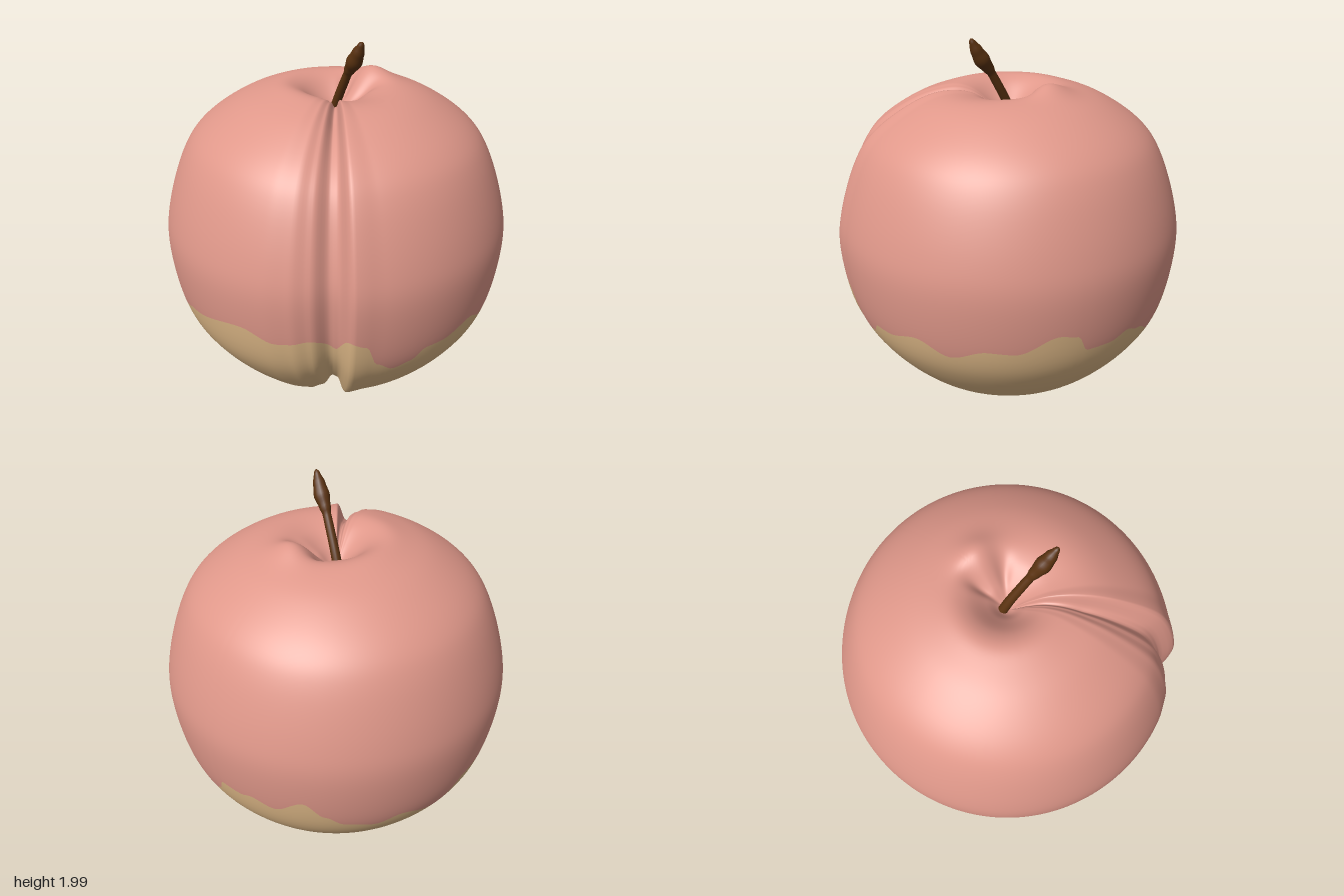
import * as THREE from 'three';
import { mergeVertices } from 'three/addons/utils/BufferGeometryUtils.js';

const V2 = (p) => new THREE.Vector2(p[0], p[1]);
const bell = (x, mid, width) => Math.exp(-(((x - mid) / width) ** 2));
const wrap = (a) => ((a + 540) % 360) - 180;

// linear-free smooth lookup in a short list of [x, value] pairs
function lookup(list, x) {
  if (x <= list[0][0]) return list[0][1];
  for (let i = 1; i < list.length; i++) {
    const [x0, y0] = list[i - 1], [x1, y1] = list[i];
    if (x <= x1) return y0 + (y1 - y0) * THREE.MathUtils.smoothstep(x, x0, x1);
  }
  return list[list.length - 1][1];
}

// fruit half-section as [radius, height], from the base dimple to the stem hollow
const profile = new THREE.SplineCurve([
  [0, 0.07], [0.05, 0.05], [0.12, 0.015], [0.22, 0.01], [0.4, 0.07], [0.6, 0.2],
  [0.78, 0.4], [0.88, 0.6], [0.925, 0.9], [0.9, 1.12], [0.81, 1.38], [0.7, 1.53],
  [0.5, 1.66], [0.32, 1.715], [0.2, 1.7], [0.1, 1.63], [0.04, 1.57], [0, 1.55],
].map(V2));

// wavy edge of the pale underside: [degrees from the front, height]
const edge = [
  [-85, 0.68], [-60, 0.755], [-49, 0.7], [-38, 0.72], [-30, 0.62], [-26, 0.75], [-21, 0.72],
  [-17, 0.58], [-11, 0.52], [-5, 0.55], [0, 0.62], [6, 0.62], [19, 0.67], [30, 0.6], [42, 0.66],
  [51, 0.65], [64, 0.74], [70, 0.72], [74, 0.62], [83, 0.62], [90, 0.655], [96, 0.62], [108, 0.53],
  [113, 0.6], [116, 0.69], [124, 0.68], [128, 0.7], [136, 0.66], [146, 0.755], [153, 0.65],
  [159, 0.58], [170, 0.54], [178, 0.59], [196, 0.48], [205, 0.645], [211, 0.65], [223, 0.61],
  [231, 0.72], [236, 0.67], [241, 0.56], [249, 0.565], [255, 0.48], [263, 0.59], [270, 0.655], [275, 0.68],
];

// depth of the cleft: one steep lip, one gentle side
const cleft = [[-52, 0], [-44, 0.008], [-38, 0.03], [-32, 0.085], [-29.5, 0.075], [-25, -0.01], [-16, 0]];

function surfacePoint(deg, s) {
  const p = profile.getPoint(s);
  let r = Math.max(p.x, 0), y = p.y;
  // uneven rim and folds around the stem hollow
  if (y > 1.4) {
    y += bell(r, 0.25, 0.1) * (0.05 * bell(wrap(deg - 100), 0, 24) + 0.015 * bell(wrap(deg - 195), 0, 45)
      - 0.018 * bell(wrap(deg - 5), 0, 45) + 0.015 * bell(wrap(deg + 90), 0, 45));
    y -= bell(r, 0.15, 0.07) * (0.035 * bell(wrap(deg - 128), 0, 13) + 0.025 * bell(wrap(deg - 72), 0, 14));
  }
  // cleft pushed towards the core
  const d = lookup(cleft, wrap(deg)) * Math.min(1, r / 0.4);
  const len = Math.hypot(r, y - 0.9) || 1;
  r -= (d * r) / len;
  y -= (d * (y - 0.9)) / len;
  const a = THREE.MathUtils.degToRad(deg);
  return [r * Math.sin(a), y, r * Math.cos(a)];
}

// profile parameter at a given height on the flank
function paramAtHeight(h) {
  let lo = 0.2, hi = 0.6;
  for (let i = 0; i < 24; i++) {
    const mid = (lo + hi) / 2;
    if (profile.getPoint(mid).y < h) lo = mid; else hi = mid;
  }
  return lo;
}

function fruitGeometry(cols, lowRows, highRows) {
  const pos = [], index = [], rows = lowRows + highRows;
  const split = [];
  for (let j = 0; j < cols; j++) {
    const deg = (j * 360) / cols - 85;
    split.push(paramAtHeight(lookup(edge, deg)));
  }
  for (let i = 0; i <= rows; i++) {
    for (let j = 0; j < cols; j++) {
      const b = split[j];
      const s = i <= lowRows ? (b * i) / lowRows : b + ((1 - b) * (i - lowRows)) / highRows;
      pos.push(...surfacePoint((j * 360) / cols - 85, s));
    }
  }
  for (let i = 0; i < rows; i++) {
    for (let j = 0; j < cols; j++) {
      const k = (j + 1) % cols;
      const a = i * cols + j, b = i * cols + k, c = b + cols, d = a + cols;
      index.push(a, b, c, a, c, d);
    }
  }
  const g = new THREE.BufferGeometry();
  g.setAttribute('position', new THREE.Float32BufferAttribute(pos, 3));
  g.setIndex(index);
  g.addGroup(0, lowRows * cols * 6, 0);
  g.addGroup(lowRows * cols * 6, highRows * cols * 6, 1);
  g.computeVertexNormals();
  return g;
}

// leaning stem: a unit tube whose rings are scaled by a radius rule
function stemGeometry() {
  const path = new THREE.CatmullRomCurve3([
    [0, 1.5, -0.05], [0, 1.62, 0.005], [0, 1.745, 0.08], [0, 1.82, 0.13], [0, 1.89, 0.188], [0, 1.99, 0.25],
  ].map((p) => new THREE.Vector3(...p)));
  const radii = [[0, 0.026], [0.45, 0.023], [0.6, 0.022], [0.66, 0.03], [0.77, 0.041], [0.87, 0.032], [0.97, 0.016], [1, 0]];
  const n = 48, sides = 16;
  let g = new THREE.TubeGeometry(path, n, 1, sides, false);
  const p = g.attributes.position, v = new THREE.Vector3();
  for (let i = 0; i <= n; i++) {
    const c = path.getPointAt(i / n), r = lookup(radii, i / n);
    for (let j = 0; j <= sides; j++) {
      const k = i * (sides + 1) + j;
      v.fromBufferAttribute(p, k).sub(c).multiplyScalar(r).add(c);
      p.setXYZ(k, v.x, v.y, v.z);
    }
  }
  g.deleteAttribute('uv');
  g.deleteAttribute('normal');
  g = mergeVertices(g, 1e-5);
  g.computeVertexNormals();
  return g;
}

export function createModel() {
  const mat = (name, color) => Object.assign(new THREE.MeshStandardMaterial({ color }), { name });
  const underside = mat('pale underside', 0xdeb887);
  const blush = mat('pink blush', 0xe0988a);
  const bark = mat('brown bark', 0x5a3210);

  const group = new THREE.Group();
  group.name = 'peach';
  const fruit = new THREE.Mesh(fruitGeometry(360, 40, 70), [underside, blush]);
  fruit.name = 'fruit';
  const stem = new THREE.Mesh(stemGeometry(), bark);
  stem.name = 'stem';
  group.add(fruit, stem);
  return group;
}
